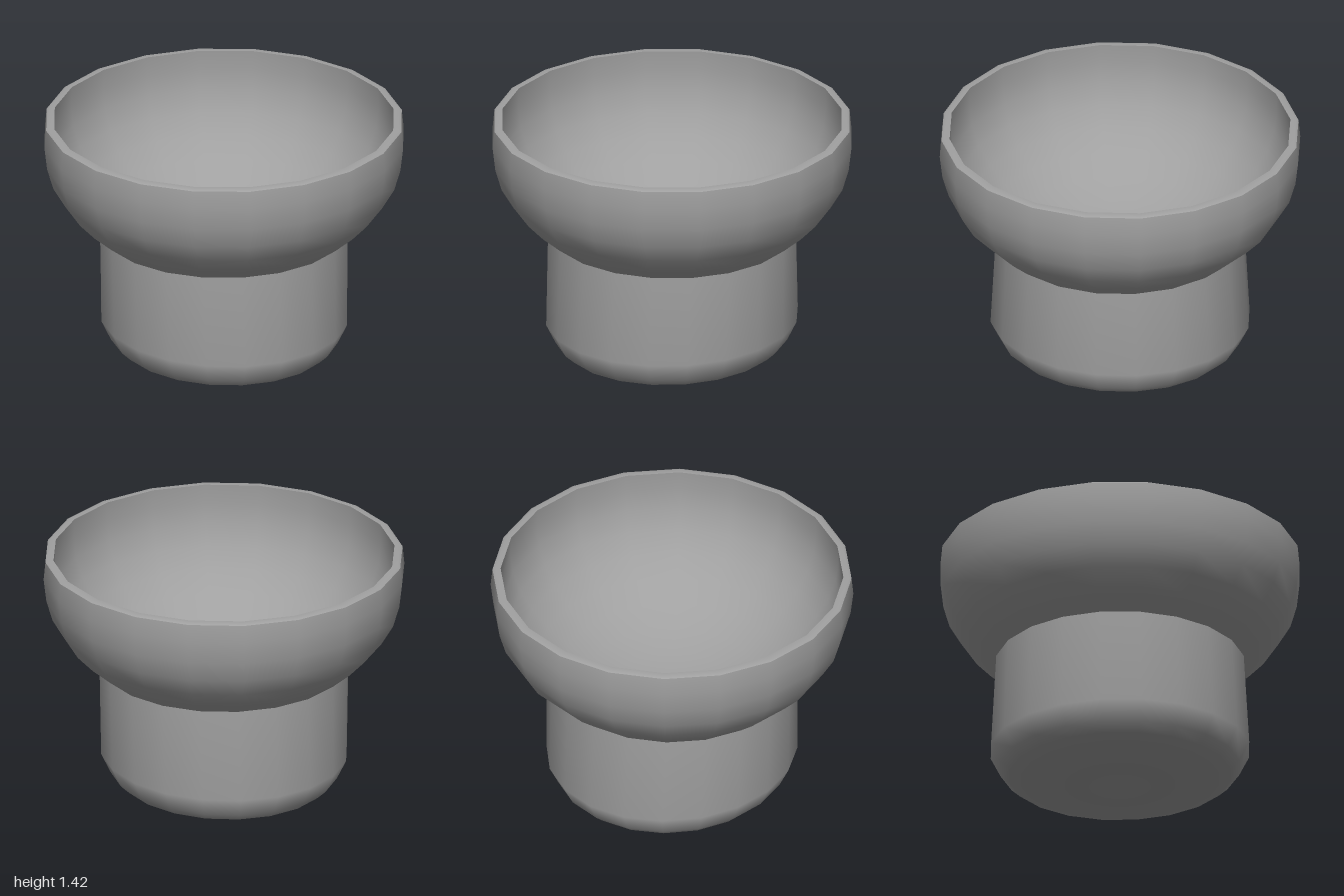
import * as THREE from 'three';

const SIDES = 20;
const material = new THREE.MeshStandardMaterial({ color: 0xa0a0a0 });

// Revolve a profile of [radius, height] points
function revolve(name, profile) {
  const points = profile.map(([r, y]) => new THREE.Vector2(r, y));
  const mesh = new THREE.Mesh(new THREE.LatheGeometry(points, SIDES), material);
  mesh.name = name;
  return mesh;
}

export function createModel() {
  const model = new THREE.Group();
  model.name = 'cup';

  // Bowl: outer shell, rim and inner shell, kept apart for crisp edges
  const bowl = new THREE.Group();
  bowl.name = 'bowl';
  const outer = [
    [0.69, 0.765], [0.795, 0.855], [0.885, 0.95], [0.95, 1.06],
    [0.985, 1.18], [1, 1.31], [0.99, 1.412],
  ];
  bowl.add(revolve('bowlOuter', outer));
  bowl.add(revolve('bowlRim', [[0.99, 1.412], [0.975, 1.42], [0.945, 1.42]]));

  // Inner shell follows a squashed half sphere down to the centre
  const inner = [[0.945, 1.42]];
  for (let i = 0; i < 9; i++) {
    const a = (i / 9) * Math.PI / 2;
    inner.push([0.95 * Math.cos(a), 1.31 - 0.7 * Math.sin(a)]);
  }
  inner.push([0, 0.61]);
  bowl.add(revolve('bowlInner', inner));
  model.add(bowl);

  // Base: round at the top, slightly oval (longer in z) towards the bottom
  const base = revolve('base', [
    [0, 0], [0.28, 0.03], [0.46, 0.035], [0.595, 0.083],
    [0.645, 0.13], [0.698, 0.24], [0.69, 0.765],
  ]);
  const pos = base.geometry.attributes.position;
  for (let i = 0; i < pos.count; i++) {
    const oval = 0.033 * THREE.MathUtils.clamp((0.765 - pos.getY(i)) / 0.525, 0, 1);
    pos.setX(i, pos.getX(i) * (1 - oval));
    pos.setZ(i, pos.getZ(i) * (1 + oval));
  }
  model.add(base);

  return model;
}
